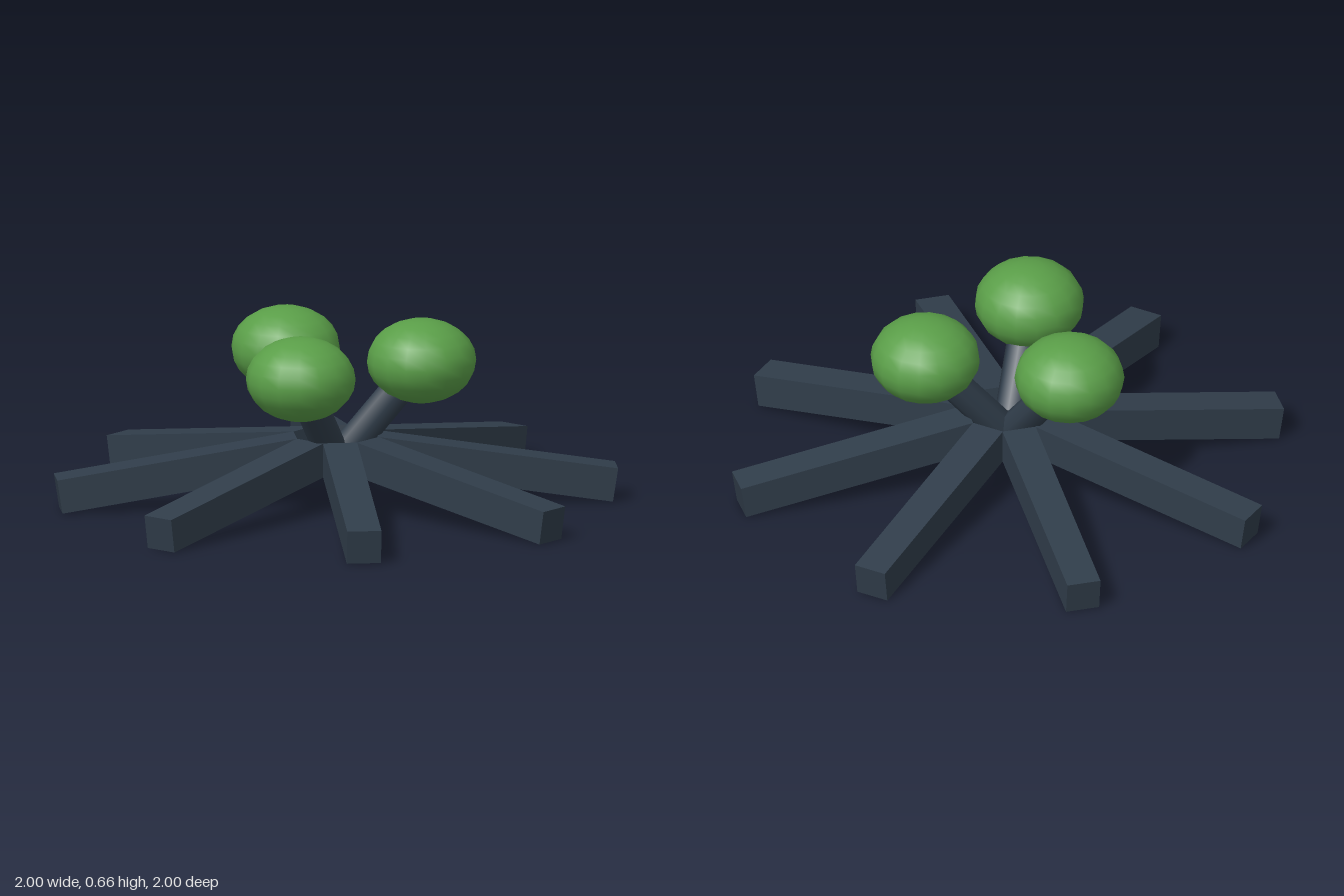
import * as THREE from 'three';

const darkMat = new THREE.MeshStandardMaterial({ color: 0x303d4a });
const greenMat = new THREE.MeshStandardMaterial({ color: 0x5a9e48 });

function part(name, geometry, material, parent) {
  const mesh = new THREE.Mesh(geometry, material);
  mesh.name = name;
  parent.add(mesh);
  return mesh;
}

// Calls build(group) for each of count groups turned evenly about the y axis
function radial(name, count, parent, build) {
  for (let i = 0; i < count; i++) {
    const group = new THREE.Group();
    group.name = name;
    group.rotation.y = (i * Math.PI * 2) / count;
    build(group);
    parent.add(group);
  }
}

export function createModel() {
  const model = new THREE.Group();
  model.name = 'rootedPlant';

  // Eight square beams sloping down and outward around an open hub
  const beamGeo = new THREE.BoxGeometry(0.865, 0.122, 0.122);
  radial('rootArm', 8, model, (arm) => {
    const beam = part('root', beamGeo, darkMat, arm);
    beam.position.set(0.563, 0.127, 0);
    beam.rotation.z = -Math.atan2(0.133, 0.855);
  });

  // Three leaning stems, each carrying a flattened crown
  const from = new THREE.Vector3(0, 0.15, 0);
  const to = new THREE.Vector3(0.305, 0.515, 0);
  const stemGeo = new THREE.CylinderGeometry(0.058, 0.06, from.distanceTo(to), 8);
  const crownGeo = new THREE.SphereGeometry(0.195, 16, 12);
  radial('branch', 3, model, (branch) => {
    const stem = part('stem', stemGeo, darkMat, branch);
    stem.position.lerpVectors(from, to, 0.5);
    stem.rotation.z = -Math.atan2(to.x - from.x, to.y - from.y);

    const crown = part('crown', crownGeo, greenMat, branch);
    crown.position.copy(to);
    crown.scale.y = 0.77;
  });

  return model;
}
